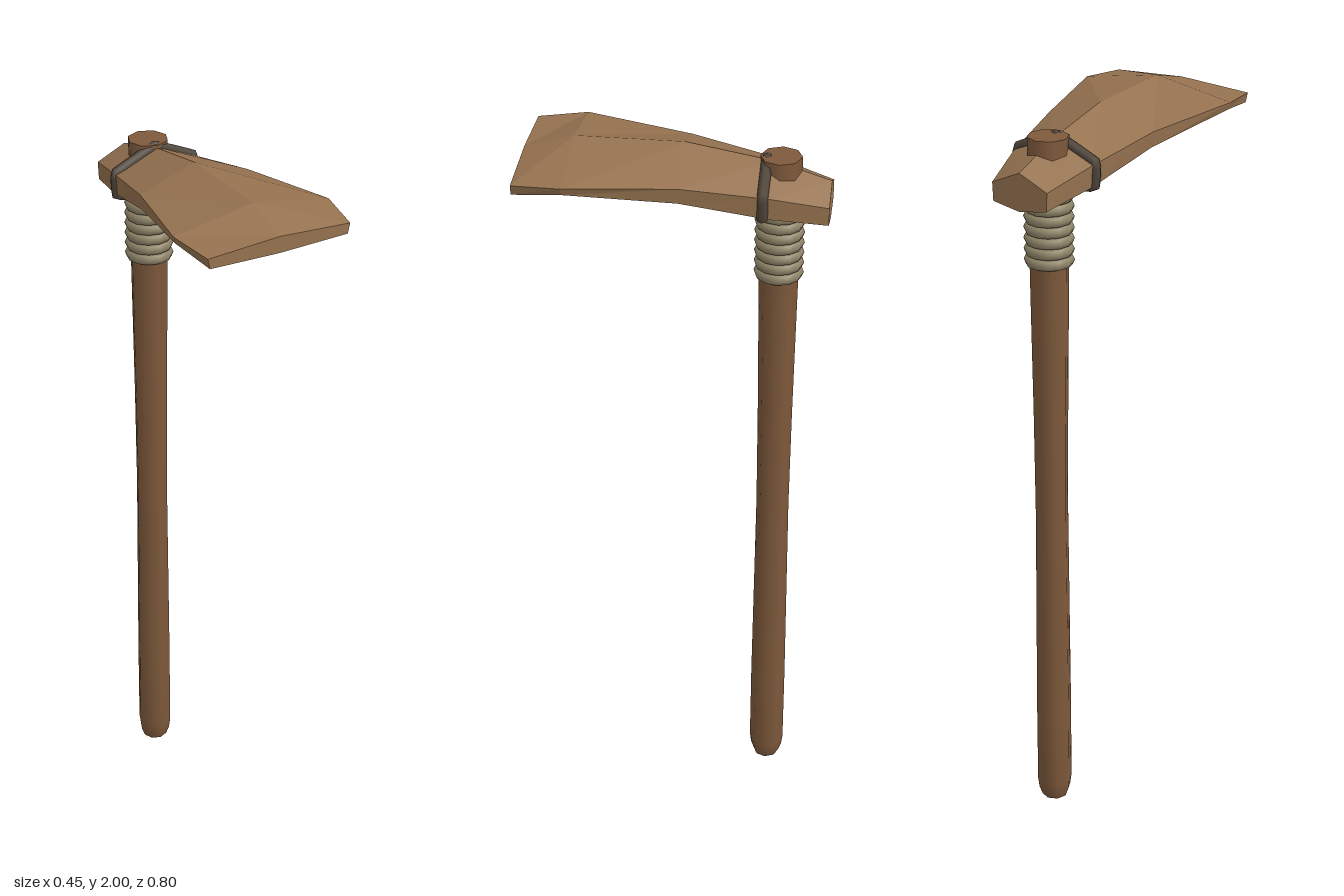
import * as THREE from 'three';
import { toCreasedNormals } from 'three/addons/utils/BufferGeometryUtils.js';

const HANDLE_Z = -0.268;

function mat(color, extra = {}) {
  return new THREE.MeshStandardMaterial({ color, ...extra });
}

function part(name, geometry, material) {
  const mesh = new THREE.Mesh(geometry, material);
  mesh.name = name;
  return mesh;
}

// Six-cornered cross-section, counter-clockwise seen from the front
function section([z, w, ridge, edgeTop, edgeBottom, bottom]) {
  return [
    [0, ridge, z], [-w, edgeTop, z], [-w * 0.97, edgeBottom, z],
    [0, bottom, z], [w * 0.97, edgeBottom, z], [w, edgeTop, z],
  ];
}

// Closed solid through a row of cross-sections
function loft(sections) {
  const n = sections[0].length, last = (sections.length - 1) * n, index = [];
  for (let i = 0; i < sections.length - 1; i++) {
    for (let j = 0; j < n; j++) {
      const a = i * n + j, b = i * n + (j + 1) % n;
      index.push(a, a + n, b + n, a, b + n, b);
    }
  }
  for (let j = 1; j < n - 1; j++) {
    index.push(0, j, j + 1, last, last + j + 1, last + j);
  }
  const geometry = new THREE.BufferGeometry();
  geometry.setAttribute('position', new THREE.Float32BufferAttribute(sections.flat(2), 3));
  geometry.setIndex(index);
  const flat = geometry.toNonIndexed();
  flat.computeVertexNormals();
  return flat;
}

export function createModel() {
  const group = new THREE.Group();
  group.name = 'hoe';

  // Eight-sided wooden handle, rounded at the foot, passing through the blade
  const profile = [
    [0, 0], [0.036, 0], [0.045, 0.025], [0.049, 0.055], [0.049, 0.3],
    [0.045, 0.9], [0.047, 1.2], [0.052, 1.6], [0.055, 1.975], [0, 1.975],
  ].map(([r, y]) => new THREE.Vector2(r, y));
  const handle = part('handle', toCreasedNormals(new THREE.LatheGeometry(profile, 8), 0.9), mat(0x7f5a3c));
  handle.position.z = HANDLE_Z;
  group.add(handle);

  // Blade: z, half width, ridge, upper edge, lower edge, underside
  const blade = part('blade', loft([
    [0.4, 0.206, 1.962, 1.95, 1.922, 1.917],
    [0.268, 0.227, 2.0, 1.96, 1.94, 1.917],
    [-0.02, 0.161, 2.0, 1.945, 1.902, 1.88],
    [-0.25, 0.119, 1.96, 1.91, 1.85, 1.838],
    [-0.4, 0.083, 1.913, 1.875, 1.825, 1.81],
  ].map(section)), mat(0x967350, { flatShading: true }));
  group.add(blade);

  // Dark band hugging the blade in front of the handle
  const bandPoints = section([-0.231, 0.118, 1.966, 1.914, 1.85, 1.838])
    .map((p) => new THREE.Vector3(...p));
  const bandPath = new THREE.CatmullRomCurve3(bandPoints, true, 'catmullrom', 0.05);
  group.add(part('band', new THREE.TubeGeometry(bandPath, 48, 0.015, 8, true), mat(0x4f453a)));

  // Cord wound round the neck
  const cord = new THREE.Group();
  cord.name = 'cordWrap';
  const coil = new THREE.TorusGeometry(0.05, 0.0165, 8, 12).rotateX(Math.PI / 2);
  const cordMaterial = mat(0x8f8468);
  for (let i = 0; i < 7; i++) {
    const turn = part('cordTurn', coil, cordMaterial);
    turn.position.set(0, 1.642 + i * 0.0295, HANDLE_Z);
    cord.add(turn);
  }
  group.add(cord);

  return group;
}
